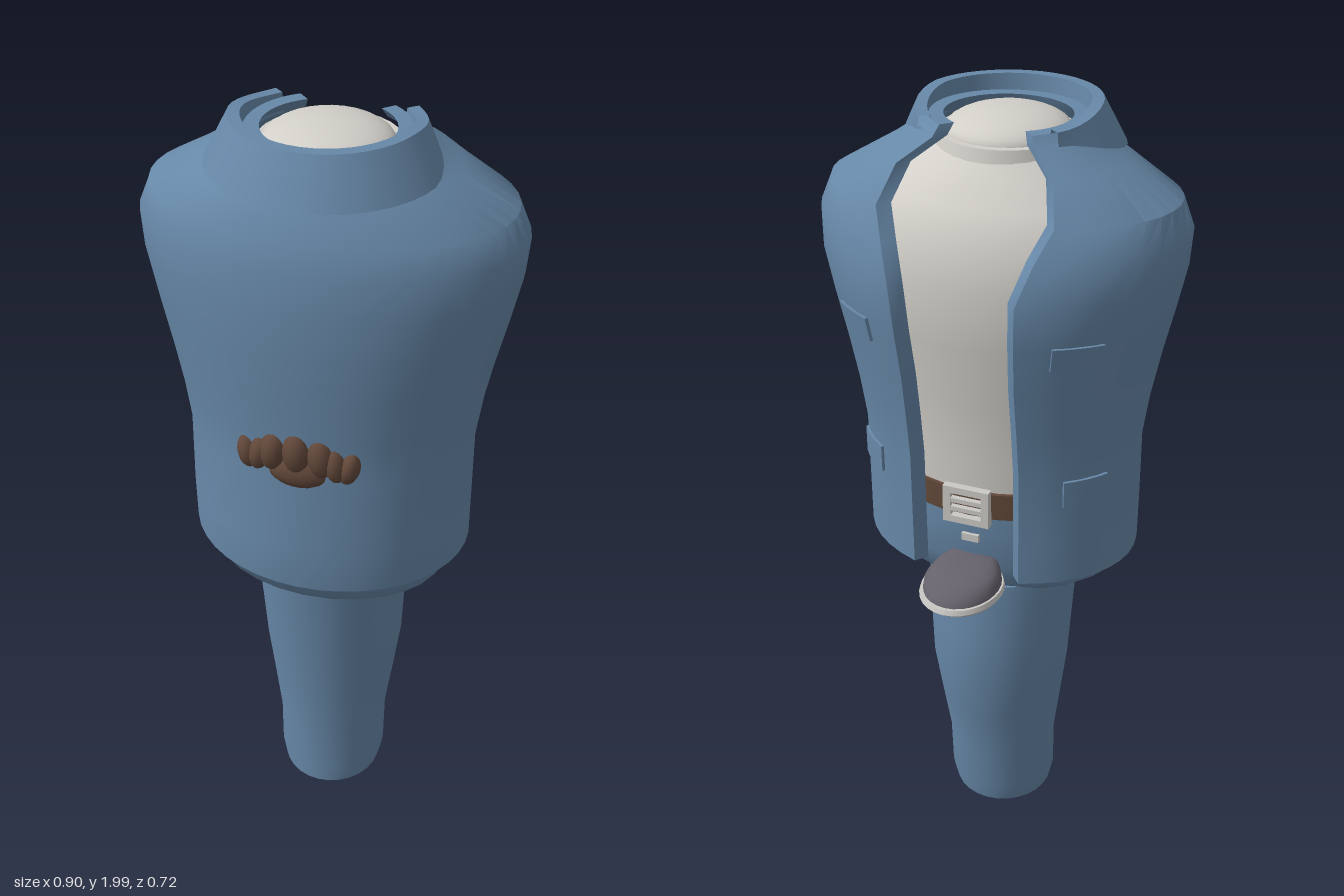
import * as THREE from 'three';
import { toCreasedNormals } from 'three/addons/utils/BufferGeometryUtils.js';

const mat = (name, color) => {
  const m = new THREE.MeshStandardMaterial({ color });
  m.name = name;
  return m;
};

// Point on an oval section: angle 0 is +z, a = half width, f / b = z extremes, c = z of widest point
const oval = (r, phi) => {
  const k = Math.cos(phi);
  return [r.a * Math.sin(phi), r.y, r.c + (k > 0 ? r.f - r.c : r.c - r.b) * k];
};

// Skin between rows of points, optionally closed around and capped
function skin(rows, { closed = false, caps = false, crease = 0.6, flip = false } = {}) {
  const n = rows[0].length, pos = rows.flat(2), idx = [];
  const tri = (p, q, r) => (flip ? idx.push(p, r, q) : idx.push(p, q, r));
  for (let i = 0; i < rows.length - 1; i++)
    for (let j = 0; j < (closed ? n : n - 1); j++) {
      const k = (j + 1) % n, p = i * n, q = p + n;
      tri(p + j, p + k, q + k);
      tri(p + j, q + k, q + j);
    }
  if (caps)
    [0, rows.length - 1].forEach((i) => {
      const mid = [0, 1, 2].map((d) => rows[i].reduce((s, p) => s + p[d], 0) / n);
      const m = pos.push(...mid) / 3 - 1;
      for (let j = 0; j < n; j++) {
        const p = i * n + j, q = i * n + ((j + 1) % n);
        i ? tri(m, p, q) : tri(m, q, p);
      }
    });
  const g = new THREE.BufferGeometry();
  g.setAttribute('position', new THREE.Float32BufferAttribute(pos, 3));
  g.setIndex(idx);
  return toCreasedNormals(g, crease);
}

// Solid from oval rows [y, a, f, b, c?]
function loft(table, crease, n = 28) {
  const rows = table.map(([y, a, f, b, c = (f + b) / 2]) =>
    Array.from({ length: n }, (_, j) => oval({ y, a, f, b, c }, (j / n) * Math.PI * 2)));
  return skin(rows, { closed: true, caps: true, crease });
}

// Jacket rows: y, half width, front z, z of opening edge, half width of opening, centre z
const jacketRows = [
  [0.88, 0.355, 0.35, -0.21, 0.14, 0.05], [1.0, 0.355, 0.358, -0.212, 0.14, 0.05],
  [1.19, 0.355, 0.333, -0.215, 0.14, 0.05], [1.3, 0.37, 0.338, -0.23, 0.14, 0.05],
  [1.42, 0.393, 0.347, -0.25, 0.14, 0.05], [1.54, 0.42, 0.354, -0.27, 0.145, 0.05],
  [1.65, 0.443, 0.355, -0.282, 0.15, 0.05], [1.74, 0.45, 0.348, -0.245, 0.18, 0.05],
  [1.81, 0.422, 0.333, -0.2, 0.21, 0.05], [1.89, 0.285, 0.295, -0.14, 0.185, 0.06],
  [1.94, 0.21, 0.26, -0.085, 0.12, 0.075], [1.965, 0.185, 0.25, -0.068, 0.11, 0.075],
].map(([y, a, f, zb, w, c]) => {
  const b = c - (c - zb) / Math.sqrt(1 - (w / a) ** 2);
  return { y, a, f, b, c, w };
});
const thick = 0.035;

function jacketGeometry() {
  const n = 36;
  const arc = (r, a, w) => {
    const end = Math.PI - Math.asin(w / a), d = r.a - a;
    const s = { ...r, a, f: r.f - d, b: r.b + d };
    return Array.from({ length: n + 1 }, (_, j) => oval(s, end * ((2 * j) / n - 1)));
  };
  const outer = jacketRows.map((r) => arc(r, r.a, r.w));
  const inner = jacketRows.map((r) => arc(r, r.a - thick, r.w - 0.025).reverse());
  const rows = outer.map((o, i) => [...o, ...inner[i]]);
  // close the hem and the neckline by folding the outside onto the inside
  const fold = (i) => [...[...inner[i]].reverse(), ...inner[i]];
  return skin([fold(0), ...rows, fold(rows.length - 1)], { closed: true, crease: 0.65 });
}

// Raised flap following the jacket surface
function flapGeometry(y0, y1, p0, p1, side) {
  const at = (y, phi, off) => {
    let i = 0;
    while (jacketRows[i + 1].y < y) i++;
    const A = jacketRows[i], B = jacketRows[i + 1], t = (y - A.y) / (B.y - A.y), r = { y };
    for (const k of ['a', 'f', 'b', 'c']) r[k] = A[k] + (B[k] - A[k]) * t;
    r.a += off; r.b -= off;
    const p = oval(r, phi);
    return [p[0] * side, p[1], p[2]];
  };
  const us = [0, 0, 0.2, 0.4, 0.6, 0.8, 1, 1], vs = [0, 0, 0.5, 1, 1];
  const rows = vs.map((v, i) => us.map((u, j) => {
    const rim = i === 0 || j === 0 || i === vs.length - 1 || j === us.length - 1;
    return at(y0 + (y1 - y0) * v, p0 + (p1 - p0) * u, rim ? -0.004 : 0.007);
  }));
  return skin(rows, { flip: side < 0 });
}

// Turned-up collar whose lower edge rises towards its two ends
function collarGeometry() {
  const n = 32, end = 2.27, rows = [[], [], [], [], []];
  for (let j = 0; j <= n; j++) {
    const phi = end * ((2 * j) / n - 1);
    const t = THREE.MathUtils.smoothstep(Math.abs(phi), 1.2, end);
    const top = 2 - 0.025 * t;
    const ring = [[0.25 - 0.05 * t, 1.895 + 0.05 * t], [0.272 - 0.052 * t, 1.895 + 0.05 * t],
      [0.215, top], [0.187, top], [0.18, 1.93]];
    ring.forEach(([r, y], i) => rows[i].push([r * Math.sin(phi), y, 0.08 + r * Math.cos(phi)]));
  }
  return skin([...rows, rows[0]], { crease: 0.5 });
}

export function createModel() {
  const model = new THREE.Group();
  const blue = mat('suit blue', 0x6788a8);
  const white = mat('shirt white', 0xd2cfc9);
  const brown = mat('brown', 0x614739);
  const grey = mat('dark grey', 0x66626c);
  const metal = mat('buckle silver', 0xcac8c4);
  const blueOpen = mat('collar blue', 0x6788a8);
  blueOpen.side = THREE.DoubleSide;
  const add = (name, geo, m, x = 0, y = 0, z = 0) => {
    const mesh = new THREE.Mesh(geo, m);
    mesh.name = name;
    mesh.position.set(x, y, z);
    model.add(mesh);
    return mesh;
  };

  // Leg column and hips
  add('legs', loft([
    [0.01, 0.135, 0.2, -0.08], [0.06, 0.146, 0.2, -0.09], [0.2, 0.147, 0.203, -0.103],
    [0.35, 0.167, 0.213, -0.13], [0.48, 0.183, 0.227, -0.155], [0.62, 0.19, 0.24, -0.155],
    [0.8, 0.198, 0.262, -0.148]]), blue);
  add('hips', loft([
    [0.772, 0.21, 0.22, -0.07], [0.785, 0.265, 0.265, -0.115], [0.81, 0.3, 0.3, -0.14],
    [0.88, 0.335, 0.338, -0.165], [0.98, 0.32, 0.315, -0.175], [1.09, 0.3, 0.28, -0.18]]), blue);

  // Shirt, shirt collar and domed neck
  add('shirt', loft([
    [1.06, 0.3, 0.28, -0.178], [1.2, 0.305, 0.28, -0.185], [1.35, 0.33, 0.285, -0.2],
    [1.5, 0.365, 0.3, -0.225], [1.65, 0.385, 0.3, -0.238], [1.76, 0.37, 0.29, -0.215],
    [1.82, 0.32, 0.28, -0.18], [1.88, 0.21, 0.24, -0.12], [1.92, 0.15, 0.22, -0.08]]), white);
  add('shirtCollar', new THREE.CylinderGeometry(0.163, 0.18, 0.07, 28), white, 0, 1.895, 0.07);
  const neck = add('neck', new THREE.SphereGeometry(0.15, 28, 10, 0, Math.PI * 2, 0, Math.PI / 2), white, 0, 1.925, 0.075);
  neck.scale.y = 0.38;

  // Belt, buckle and trouser button on the open side
  add('belt', loft([[1.035, 0.31, 0.29, -0.19], [1.105, 0.31, 0.29, -0.19]]), brown);
  const frame = new THREE.Shape([[-0.06, -0.05], [0.06, -0.05], [0.06, 0.05], [-0.06, 0.05]]
    .map((p) => new THREE.Vector2(...p)));
  frame.holes.push(new THREE.Path([[-0.04, -0.032], [-0.04, 0.032], [0.04, 0.032], [0.04, -0.032]]
    .map((p) => new THREE.Vector2(...p))));
  add('buckleFrame', new THREE.ExtrudeGeometry(frame, { depth: 0.02, bevelEnabled: false }), metal, 0, 1.07, -0.208);
  for (const y of [-0.012, 0.012])
    add('bucklePin', new THREE.BoxGeometry(0.09, 0.012, 0.014), metal, 0, 1.07 + y, -0.2);
  add('trouserButton', new THREE.BoxGeometry(0.045, 0.02, 0.012), metal, 0, 0.965, -0.176);

  // Jacket, collar and pockets
  add('jacket', jacketGeometry(), blue);
  add('jacketCollar', collarGeometry(), blueOpen);
  for (const s of [-1, 1]) {
    add('breastPocket', flapGeometry(1.49, 1.55, 2.27, 2.58, s), blue);
    add('sidePocketFlap', flapGeometry(1.1, 1.17, 2.05, 2.42, s), blue);
  }

  // Clasped hand: five fingers over a palm
  const blob = new THREE.SphereGeometry(1, 14, 10);
  const finger = (name, x, y, z, w, h, tilt = 0) => {
    const f = add(name, blob, brown, x, y, z);
    f.scale.set(w, h, 0.034);
    f.rotation.z = tilt;
  };
  finger('middleFinger', 0, 1.275, 0.328, 0.034, 0.056);
  finger('palm', 0, 1.215, 0.317, 0.075, 0.045);
  for (const s of [-1, 1]) {
    finger('innerFinger', s * 0.058, 1.268, 0.325, 0.032, 0.053, s * 0.1);
    finger('outerFinger', s * 0.092, 1.252, 0.32, 0.026, 0.046, s * 0.15);
    finger('littleFinger', s * 0.123, 1.245, 0.312, 0.025, 0.044, -s * 0.2);
  }

  // Shoe-shaped piece below the opening
  add('sole', loft([
    [0.83, 0.07, -0.12, -0.29, -0.23], [0.837, 0.097, -0.12, -0.345, -0.23],
    [0.85, 0.105, -0.12, -0.361, -0.23], [0.862, 0.101, -0.12, -0.356, -0.23]]), metal);
  add('shoeUpper', loft([
    [0.855, 0.097, -0.12, -0.35, -0.23], [0.882, 0.093, -0.12, -0.34, -0.23],
    [0.898, 0.08, -0.12, -0.3, -0.21], [0.91, 0.055, -0.12, -0.23, -0.18]], 0.9), grey);
  return model;
}
